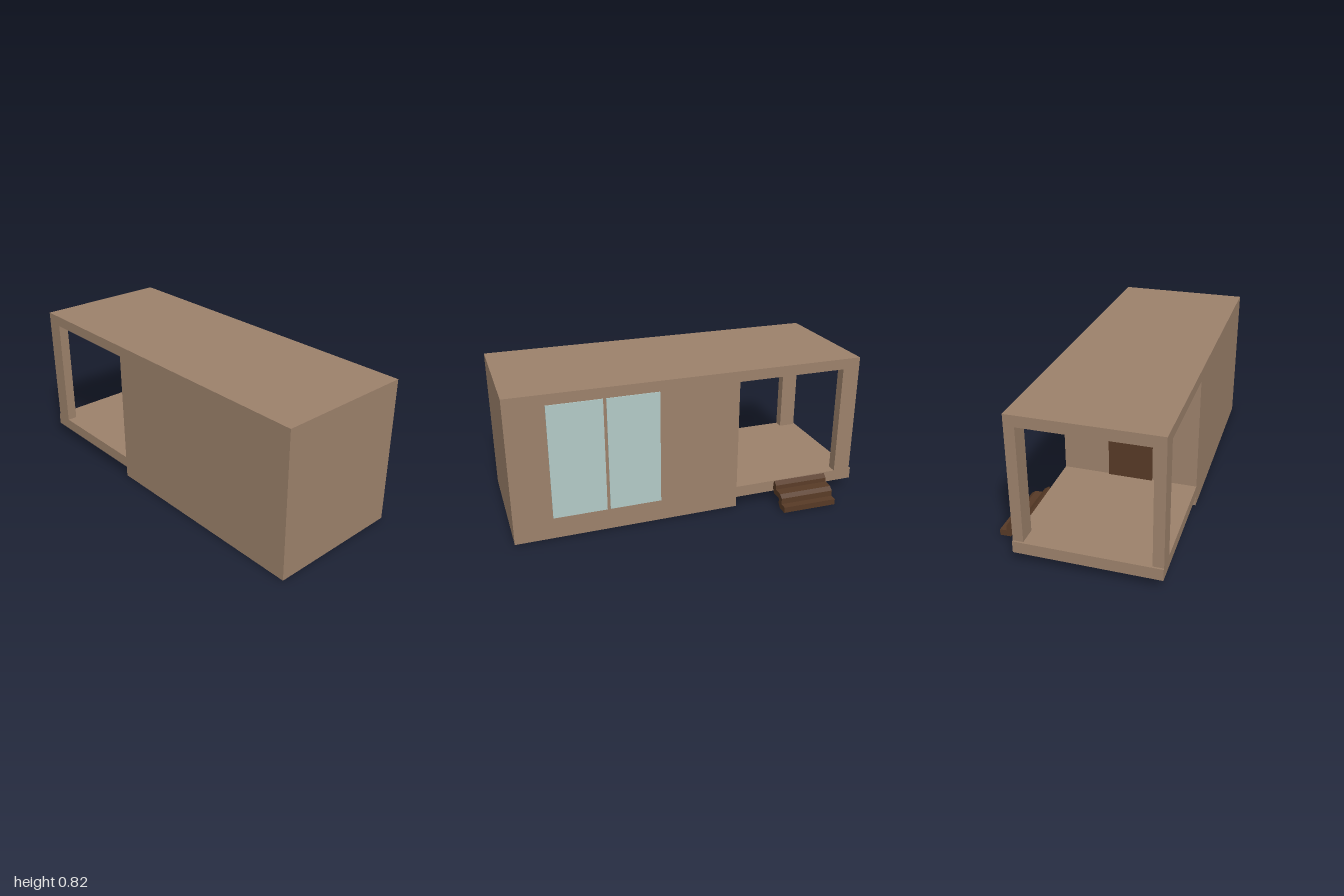
import * as THREE from 'three';

const material = (color) => new THREE.MeshStandardMaterial({ color });

export function createModel() {
  const group = new THREE.Group();
  const wall = material(0x9c816b);
  const glass = material(0xb3cac7);
  const wood = material(0x573a26);
  const dark = material(0x2a1c13);

  // Box given by its lower and upper corners
  const box = (name, mat, [x0, y0, z0], [x1, y1, z1]) => {
    const mesh = new THREE.Mesh(new THREE.BoxGeometry(x1 - x0, y1 - y0, z1 - z0), mat);
    mesh.position.set((x0 + x1) / 2, (y0 + y1) / 2, (z0 + z1) / 2);
    mesh.name = name;
    group.add(mesh);
    return mesh;
  };

  // Extrusion along z, centred on its own depth
  const extrude = (points, depth) => {
    const shape = new THREE.Shape(points.map(([x, y]) => new THREE.Vector2(x, y)));
    return new THREE.ExtrudeGeometry(shape, { depth, bevelEnabled: false }).translate(0, 0, -depth / 2);
  };

  const left = 0.3, right = -0.465;

  // Cabin and overhanging porch roof in one side profile, drawn as (-z, y)
  const shell = new THREE.Mesh(extrude([
    [-1, 0.007], [0.26, 0.007], [0.26, 0.765], [0.99, 0.765], [0.99, 0.825], [-1, 0.825],
  ], left - right), wall);
  shell.rotation.y = Math.PI / 2;
  shell.position.x = (left + right) / 2;
  shell.name = 'cabinAndRoof';
  group.add(shell);

  // Porch floor and its two corner posts
  box('porchFloor', wall, [right, 0.065, -1], [left, 0.13, -0.26]);
  box('postLeft', wall, [left - 0.056, 0.13, -0.99], [left, 0.765, -0.89]);
  box('postRight', wall, [right, 0.13, -0.99], [right + 0.056, 0.765, -0.89]);

  // Pair of window panes standing just off the wall
  for (const [z0, z1] of [[0.195, 0.48], [0.497, 0.79]]) {
    box('windowPane', glass, [0.307, 0.133, z0], [0.312, 0.769, z1]);
  }

  // Porch door with handle, and the wall lamp beside it
  box('door', wood, [-0.214, 0.13, -0.27], [0.036, 0.635, -0.26]);
  const handle = new THREE.Mesh(new THREE.ConeGeometry(0.01, 0.02, 8), dark);
  handle.rotation.x = -Math.PI / 2;
  handle.position.set(0.012, 0.365, -0.279);
  handle.name = 'doorHandle';
  group.add(handle);
  box('lampBracket', wood, [0.095, 0.515, -0.272], [0.115, 0.565, -0.26]);
  box('lamp', wood, [0.083, 0.497, -0.286], [0.127, 0.583, -0.27]);

  // Entrance steps: one stepped profile, set very slightly askew
  const steps = new THREE.Mesh(extrude([
    [0.3, 0.08], [0.32, 0.056], [0.382, 0.055], [0.382, 0.025], [0.4, 0.004],
    [0.459, 0.002], [0.459, 0.036], [0.42, 0.038], [0.418, 0.071], [0.394, 0.089],
    [0.34, 0.091], [0.338, 0.115], [0.311, 0.133], [0.302, 0.115],
  ].map(([x, y]) => [x - 0.38, y]), 0.32), wood);
  steps.position.set(0.381, 0, -0.652);
  steps.rotation.y = -0.016;
  steps.name = 'entranceSteps';
  group.add(steps);

  return group;
}
